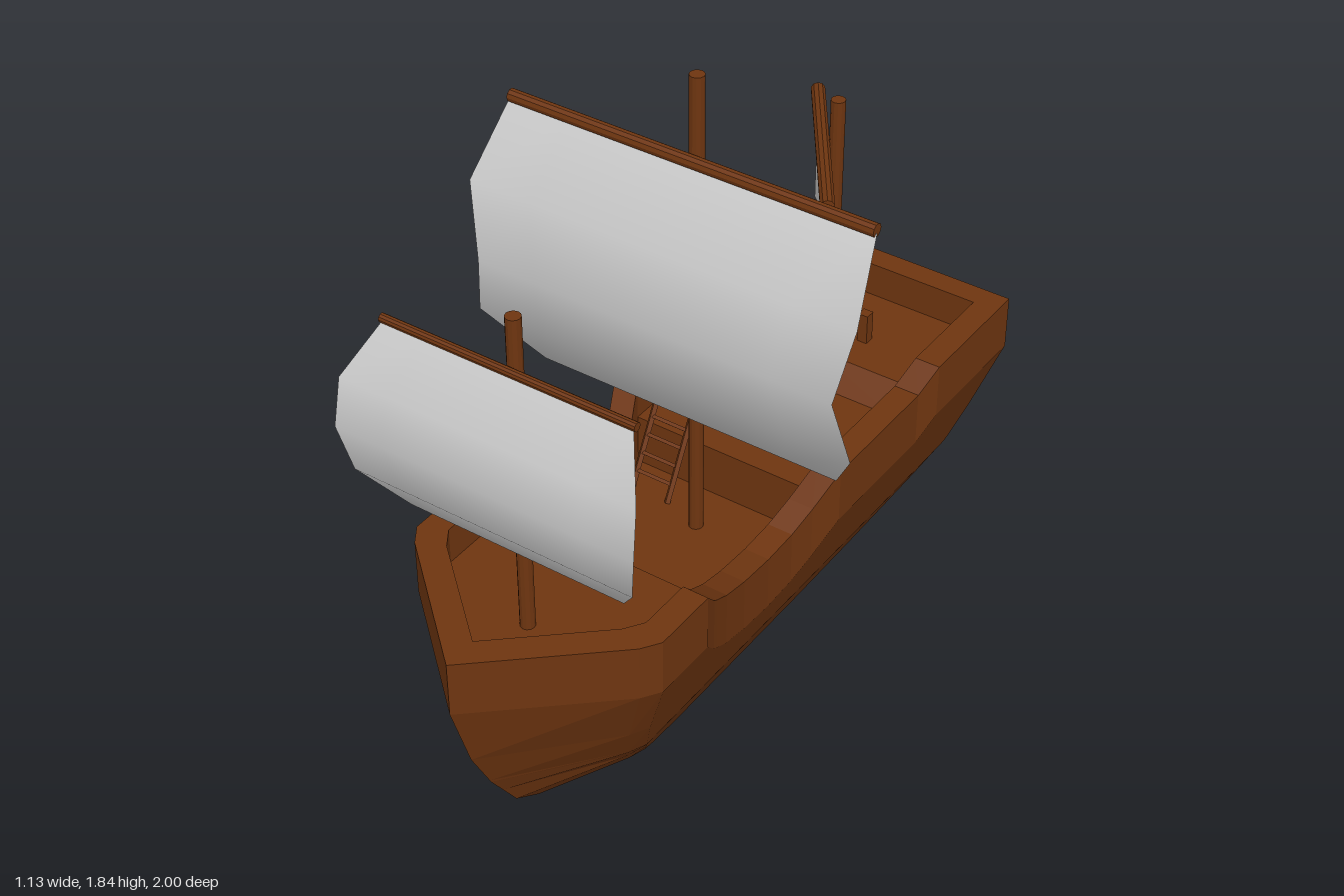
import * as THREE from 'three';

const wood = new THREE.MeshStandardMaterial({ color: 0x6e3510, flatShading: true });
const cloth = new THREE.MeshStandardMaterial({ color: 0xcccccc, side: THREE.DoubleSide });

const add = (parent, name, geo, mat = wood) => {
  const m = new THREE.Mesh(geo, mat);
  m.name = name;
  parent.add(m);
  return m;
};

// piecewise linear lookup in [key, value] pairs, keys rising
function lookup(table, k) {
  if (k <= table[0][0]) return table[0][1];
  for (let i = 1; i < table.length; i++) {
    const [a, va] = table[i - 1], [b, vb] = table[i];
    if (k <= b) return va + (vb - va) * (k - a) / (b - a);
  }
  return table[table.length - 1][1];
}

// hull curves by height: half width, stem, bow shoulder and stern positions
const halfWidth = [[0.01, 0.105], [0.27, 0.245], [0.635, 0.383]];
const stem = [[0.01, 0.54], [0.065, 0.68], [0.125, 0.77], [0.265, 0.865], [0.43, 0.95], [0.6, 1]];
const shoulder = [[0.01, 0.2], [0.065, 0.36], [0.125, 0.44], [0.265, 0.54], [0.43, 0.61], [0.6, 0.65]];
const stern = [[0.01, -0.38], [0.065, -0.6], [0.125, -0.72], [0.2, -0.84], [0.265, -0.88],
  [0.275, -0.94], [0.43, -0.99], [0.6, -1]];

// stations from bow to stern: z, rail height, deck height
const stations = [[1, 0.765, 0.66], [0.7, 0.765, 0.66], [0.65, 0.765, 0.66], [0.46, 0.765, 0.66],
  [0.39, 0.69, 0.66], [0.37, 0.675, 0.66], [0.37, 0.675, 0.47], [0.3, 0.63, 0.47], [0.2, 0.595, 0.47],
  [0.08, 0.58, 0.47], [-0.02, 0.595, 0.47], [-0.09, 0.64, 0.47], [-0.17, 0.725, 0.47],
  [-0.17, 0.725, 0.62], [-0.56, 0.725, 0.62], [-0.62, 0.792, 0.69], [-1, 0.792, 0.69], [-1, 0.792, 0.69]];
const rows = ['keel', 0.01, 0.065, 0.125, 0.2, 0.265, 0.275, 0.4, 'knuckle', 'rail', 'inner', 'deckEdge', 'deckCentre'];

function hullPoint(row, c) {
  const [z0, rail, deck] = stations[c];
  const last = stations.length - 1;
  const inside = ['inner', 'deckEdge', 'deckCentre'].includes(row);
  const knuckle = rail - 0.16;
  let y = { keel: 0.01, knuckle, rail, inner: rail, deckEdge: deck, deckCentre: deck }[row] ?? row;
  const ref = typeof row === 'number' || row === 'keel' ? y : knuckle;
  const zRef = typeof row === 'string' && row !== 'keel' ? Math.max(ref, 0.6) : ref;
  const sh = lookup(shoulder, zRef);
  let z = c === 0 ? lookup(stem, zRef) : c === 1 ? sh + 0.05
    : Math.max(Math.min(z0, sh), lookup(stern, zRef));
  let x = lookup(halfWidth, ref) * (c === 1 ? 0.91 : 1);
  if (inside) {
    x -= 0.073;
    z = c === 0 ? 0.9 : c < 3 ? z - 0.035 : Math.max(z, -0.93);
  }
  if (c === 0 || c === last || row === 'keel' || row === 'deckCentre') x = 0;
  return new THREE.Vector3(x, y, z);
}

// hull, bulwark and decks as one mirrored skin
function hullGeometry() {
  const pos = [];
  const tri = (a, b, c) => {
    const n = b.clone().sub(a).cross(c.clone().sub(a));
    if (n.length() < 1e-8) return;
    for (const p of [a, b, c]) pos.push(p.x, p.y, p.z);
    for (const p of [a, c, b]) pos.push(-p.x, p.y, p.z);
  };
  for (let r = 0; r < rows.length - 1; r++) {
    for (let c = 0; c < stations.length - 1; c++) {
      const a = hullPoint(rows[r], c), b = hullPoint(rows[r], c + 1);
      const d = hullPoint(rows[r + 1], c), e = hullPoint(rows[r + 1], c + 1);
      tri(a, b, e);
      tri(a, e, d);
    }
  }
  const g = new THREE.BufferGeometry();
  g.setAttribute('position', new THREE.Float32BufferAttribute(pos, 3));
  g.computeVertexNormals();
  return g;
}

// round bar between two points
function spar(parent, name, from, to, radius, sides = 10) {
  const a = new THREE.Vector3(...from), b = new THREE.Vector3(...to);
  const m = add(parent, name, new THREE.CylinderGeometry(radius, radius, a.distanceTo(b), sides));
  m.position.copy(a).add(b).multiplyScalar(0.5);
  m.quaternion.setFromUnitVectors(new THREE.Vector3(0, 1, 0), b.sub(a).normalize());
  return m;
}

// billowing sail from rows of [y, z, half width]
function sail(parent, name, profile) {
  const cols = 6;
  const g = new THREE.PlaneGeometry(2, 1, cols, profile.length - 1);
  const p = g.attributes.position;
  for (let i = 0; i < p.count; i++) {
    const [y, z, w] = profile[Math.floor(i / (cols + 1))];
    p.setXYZ(i, p.getX(i) * w, y, z);
  }
  g.computeVertexNormals();
  return add(parent, name, g, cloth);
}

// leaning ladder with two rails and rungs
function ladder(parent, name, foot, top) {
  const g = new THREE.Group();
  g.name = name;
  for (const x of [-0.222, -0.108]) spar(g, 'ladderRail', [x, ...foot], [x, ...top], 0.009, 4);
  for (let i = 1; i <= 4; i++) {
    const t = i / 5;
    const y = foot[0] + (top[0] - foot[0]) * t, z = foot[1] + (top[1] - foot[1]) * t;
    spar(g, 'rung', [-0.222, y, z], [-0.108, y, z], 0.007, 4);
  }
  parent.add(g);
}

// steering wheel on two posts
function steeringWheel(parent) {
  const g = new THREE.Group();
  g.name = 'steeringWheel';
  add(g, 'wheelRim', new THREE.TorusGeometry(0.036, 0.006, 6, 12));
  for (let i = 0; i < 4; i++) {
    const a = i * Math.PI / 4, x = Math.cos(a) * 0.052, y = Math.sin(a) * 0.052;
    spar(g, 'spoke', [-x, -y, 0], [x, y, 0], 0.004, 5);
  }
  spar(g, 'axle', [0, 0, -0.015], [0, 0, 0.03], 0.009, 8);
  const post = add(g, 'wheelPost', new THREE.BoxGeometry(0.03, 0.09, 0.02));
  post.position.set(0, -0.04, 0.025);
  g.position.set(0.01, 0.772, -0.738);
  parent.add(g);
  // bollard beside the wheel
  add(parent, 'bollard', new THREE.BoxGeometry(0.03, 0.09, 0.03)).position.set(0.09, 0.735, -0.735);
}

export function createModel() {
  const ship = new THREE.Group();
  ship.name = 'sailingShip';
  add(ship, 'hull', hullGeometry()).position.x = 0.007;

  // masts
  for (const [name, z, y0, y1] of [['foreMast', 0.69, 0.65, 1.585], ['mainMast', -0.035, 0.46, 1.85],
    ['mizzenMast', -0.685, 0.68, 1.455]]) {
    spar(ship, name, [0.006, y0, z], [0.006, y1, z], 0.02, 12);
  }

  // yards
  spar(ship, 'foreYard', [-0.355, 1.453, 0.724], [0.367, 1.453, 0.724], 0.012);
  spar(ship, 'mainYard', [-0.53, 1.625, -0.005], [0.527, 1.625, -0.005], 0.018);
  spar(ship, 'mizzenYard', [-0.183, 1.32, -0.893], [0.145, 1.32, -0.418], 0.02);

  // square sails
  sail(ship, 'mainSail', [[1.62, 0, 0.53], [1.435, 0.13, 0.565], [1.225, 0.163, 0.525],
    [1.04, 0.125, 0.56], [0.85, 0, 0.45]]);
  sail(ship, 'foreSail', [[1.45, 0.73, 0.355], [1.315, 0.82, 0.423], [1.18, 0.842, 0.43],
    [1.045, 0.815, 0.405], [0.915, 0.725, 0.315]]).position.x = 0.007;

  // triangular aft sail
  const tri = new THREE.BufferGeometry().setFromPoints([
    new THREE.Vector3(0.14, 1.305, -0.41), new THREE.Vector3(-0.18, 1.305, -0.89),
    new THREE.Vector3(-0.18, 0.975, -0.89)]);
  tri.computeVertexNormals();
  add(ship, 'mizzenSail', tri, cloth);

  // ladders between decks
  ladder(ship, 'bowLadder', [0.47, 0.3], [0.74, 0.435]);
  ladder(ship, 'midLadder', [0.47, -0.065], [0.7, -0.185]);
  ladder(ship, 'sternLadder', [0.62, -0.465], [0.77, -0.65]);

  steeringWheel(ship);
  return ship;
}
